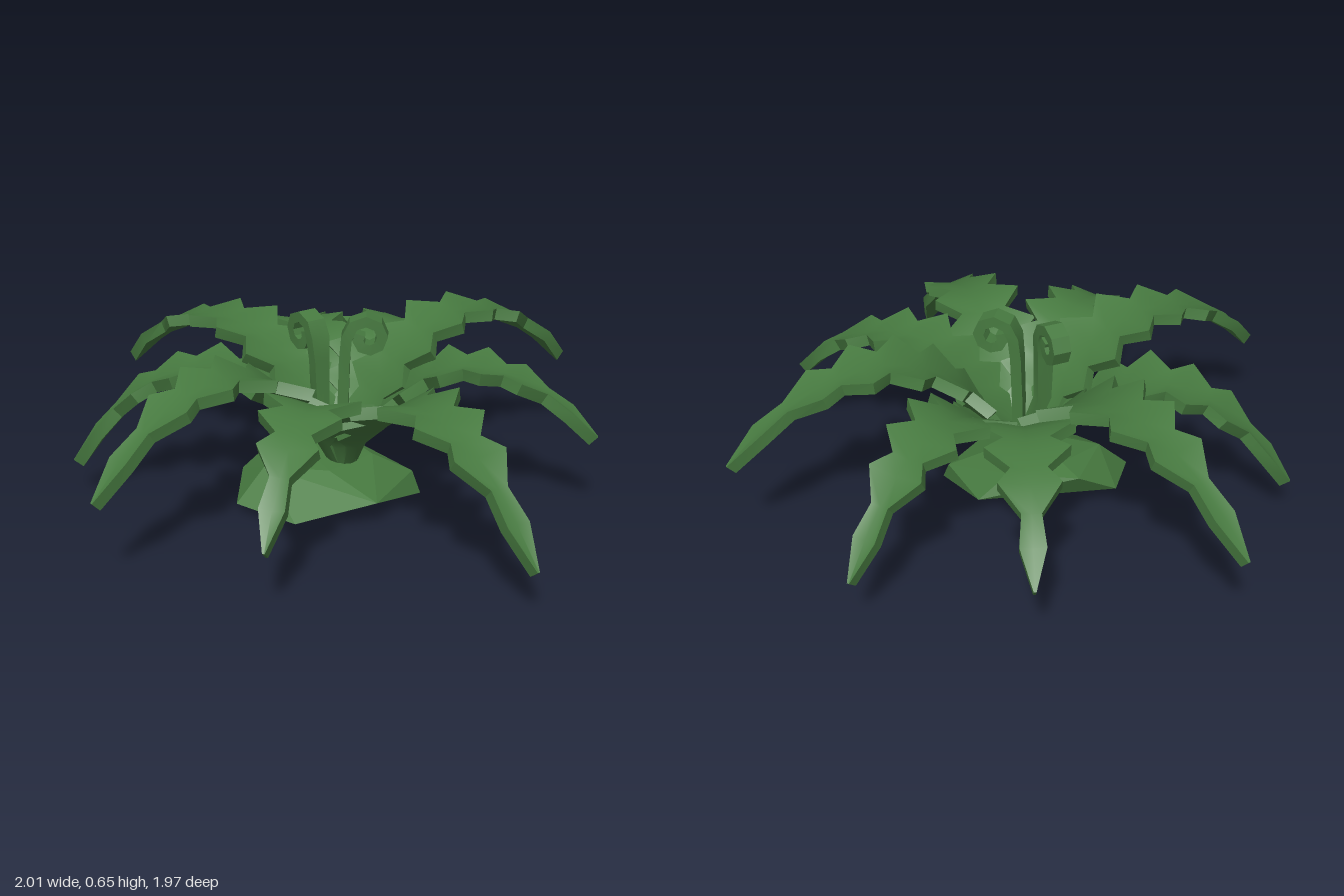
import * as THREE from 'three';
import { toCreasedNormals } from 'three/addons/utils/BufferGeometryUtils.js';
import { ConvexGeometry } from 'three/addons/geometries/ConvexGeometry.js';

const leafGreen = new THREE.MeshStandardMaterial({ color: 0x477a40 });
leafGreen.name = 'leafGreen';

// Section corners: across the strip, and up through its thickness
const section = [[1, 1], [0, 1], [-1, 1], [-1, -1], [0, -1], [1, -1]];

// Solid strip that follows points, with a half width at each one; fold raises its edges into a V
function strip(points, side, halfWidths, thickness, fold) {
  const pos = [], index = [], last = points.length - 1, e = last * 6;
  points.forEach((p, i) => {
    const t = points[Math.min(i + 1, last)].clone().sub(points[Math.max(i - 1, 0)]).normalize();
    const n = side.clone().cross(t).normalize();
    for (const [a, b] of section) {
      const v = p.clone().addScaledVector(side, a * halfWidths[i]);
      v.addScaledVector(n, b * thickness / 2 + Math.abs(a) * fold * halfWidths[i]);
      pos.push(v.x, v.y, v.z);
    }
    if (i < last) {
      for (let k = 0; k < 6; k++) {
        const A = i * 6 + k, B = i * 6 + (k + 1) % 6, C = B + 6, D = A + 6;
        index.push(A, D, C, A, C, B);
      }
    }
  });
  for (const [a, b, c] of [[0, 1, 4], [0, 4, 5], [1, 2, 3], [1, 3, 4]]) {
    index.push(a, b, c, e + a, e + c, e + b);
  }
  const g = new THREE.BufferGeometry();
  g.setAttribute('position', new THREE.Float32BufferAttribute(pos, 3));
  g.setIndex(index);
  return toCreasedNormals(g, 0.6);
}

// Toothed leaf outline: [fraction of length back from the tip, half width]
const outline = [
  [0, 0.004], [0.12, 0.04], [0.215, 0.03], [0.305, 0.095], [0.36, 0.055],
  [0.425, 0.13], [0.48, 0.07], [0.54, 0.155], [0.595, 0.08], [0.655, 0.165],
  [0.71, 0.08], [0.765, 0.145], [0.815, 0.07], [0.87, 0.09], [0.92, 0.035], [1, 0.025],
].reverse();

// Arching frond from the crown to the tip (x, y, z), bowed sideways by sway
function frond(x, y, z, peak, sway) {
  const R = Math.hypot(x, z), drop = peak - y;
  const along = new THREE.Vector3(x / R, 0, z / R), side = new THREE.Vector3(-z / R, 0, x / R);
  const profile = [
    [0.03, 0.14], [0.09 * R, 0.24], [0.235 * R, peak - 0.115], [0.37 * R, peak - 0.03],
    [0.5 * R, peak], [0.7 * R, peak - 0.15 * drop], [0.85 * R, peak - 0.47 * drop], [R, y],
  ];
  const curve = new THREE.CatmullRomCurve3(profile.map(([r, h]) => new THREE.Vector3(0, h, 0)
    .addScaledVector(along, r)
    .addScaledVector(side, sway * Math.sin(Math.PI * r / R))));
  const points = outline.map(([f]) => curve.getPointAt(1 - f));
  return strip(points, side, outline.map((o) => o[1]), 0.04, 0.2);
}

// Young shoot: upright stalk ending in a spiral that curls along (dx, dz)
function curledShoot(ox, oz, dx, dz) {
  const points = [new THREE.Vector3(0, 0.13, 0)], widths = [0.018];
  const add = (h, y, w) => {
    points.push(new THREE.Vector3(ox + dx * h, y, oz + dz * h));
    widths.push(w);
  };
  add(0, 0.34, 0.024);
  add(0.005, 0.5, 0.028);
  for (let i = 0; i <= 9; i++) {
    const a = Math.PI - i * 0.75, r = 0.068 - i * 0.0045;
    add(0.08 + Math.cos(a) * r, 0.575 + Math.sin(a) * r, 0.034 - i * 0.001);
  }
  return strip(points, new THREE.Vector3(-dz, 0, dx), widths, 0.036, 0);
}

export function createModel() {
  const model = new THREE.Group();
  model.name = 'fern';
  const add = (name, geometry) => {
    const mesh = new THREE.Mesh(geometry, leafGreen);
    mesh.name = name;
    model.add(mesh);
  };

  // Tilted, faceted mound under the crown
  const mound = [
    [0.14, 0, -0.225], [0.26, 0.085, 0.05], [0.14, 0.03, 0.29], [-0.09, 0.035, 0.37],
    [-0.26, 0.07, 0.24], [-0.12, 0.06, -0.2], [0.1, 0.07, -0.22], [-0.26, 0.15, 0.1],
    [-0.17, 0.165, 0.08], [-0.14, 0.15, -0.1], [0.03, 0.14, -0.1], [0.06, 0.14, 0.1], [-0.09, 0.14, 0.26],
  ];
  add('mound', new ConvexGeometry(mound.map((p) => new THREE.Vector3(...p))));

  // Fronds: tip x, y, z, height of the arch and sideways bow
  const fronds = [
    [0.99, 0.15, 0.04, 0.465, 0.02], [0.6, 0.27, -0.57, 0.48, 0], [0.02, 0.31, -0.97, 0.555, -0.01],
    [-0.51, 0.18, -0.76, 0.455, 0], [-0.83, 0.24, -0.32, 0.445, 0], [-0.99, 0.27, 0.27, 0.515, 0],
    [-0.52, 0.12, 0.73, 0.445, 0.015], [0.125, 0.28, 0.97, 0.525, 0.015], [0.55, 0.21, 0.66, 0.46, 0],
  ];
  fronds.forEach((f, i) => add('frond' + (i + 1), frond(...f)));

  // Two curled shoots in the middle
  add('curledShootLeft', curledShoot(0.0, 0.0, 0.61, -0.79));
  add('curledShootRight', curledShoot(-0.025, 0.075, -1, 0));
  return model;
}
